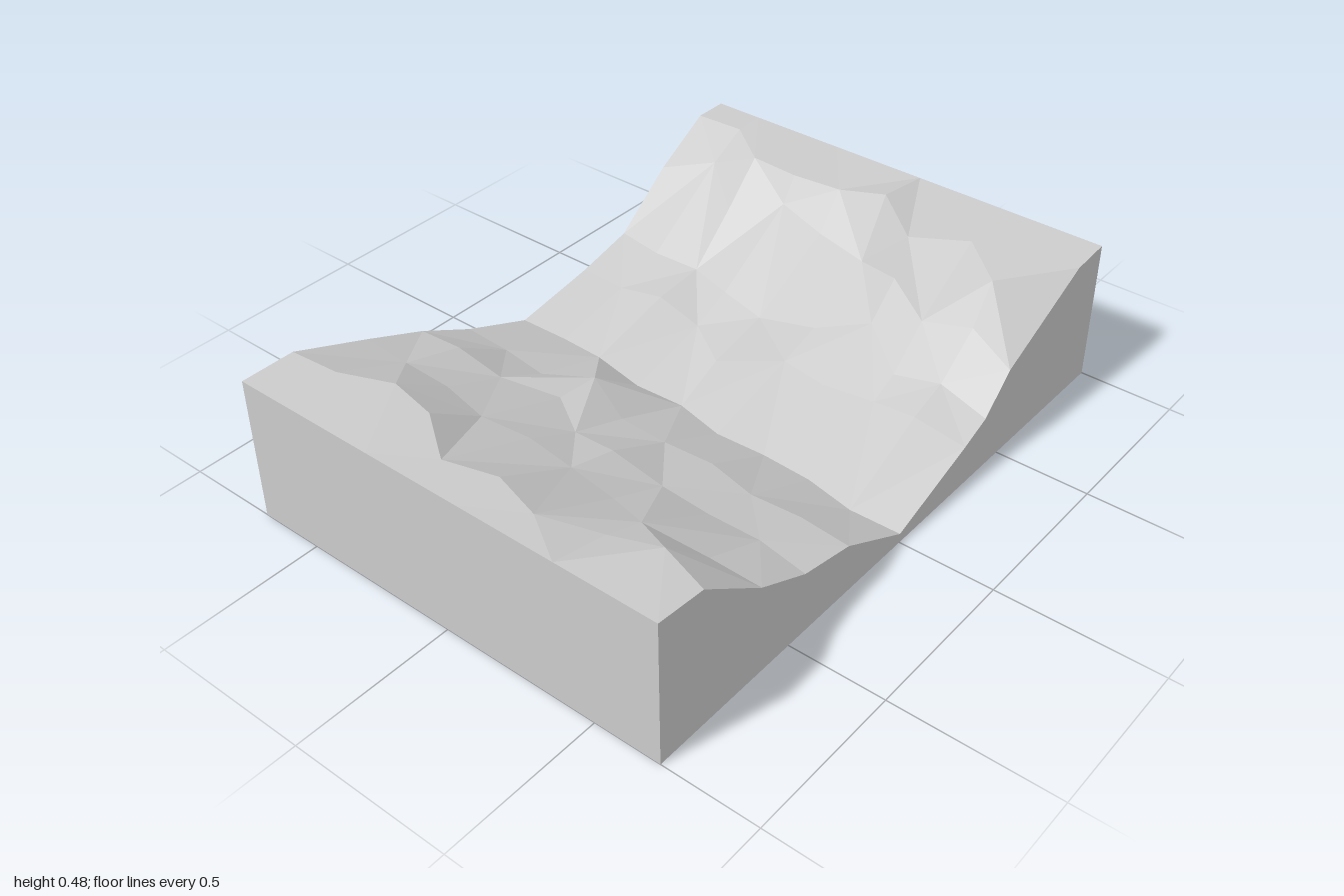
import * as THREE from 'three';

const { lerp } = THREE.MathUtils;
const HALF_WIDTH = 0.706;
const LAST = 9; // last column across the width

// Ridge lines from back to front: z at the left and right ends, then the heights there
const RIDGES = [
  [-1, -1, 0.455, 0.455],
  [-0.89, -0.87, 0.455, 0.445], // back rim
  [-0.7, -0.52, 0.345, 0.28],
  [-0.5, -0.41, 0.19, 0.175],
  [-0.31, -0.31, 0.145, 0.135],
  [-0.03, 0, 0.1, 0.03], // ravine floor
  [0.2, 0.25, 0.19, 0.16],
  [0.38, 0.44, 0.28, 0.2],
  [0.58, 0.62, 0.36, 0.285],
  [0.83, 0.84, 0.455, 0.44], // front rim
  [1, 1, 0.455, 0.455],
];

// Rocks and gullies: ridge, column, shift in z, shift in height
const ROCKS = [
  [1, 2, 0.11, 0.005], [1, 3, 0.11, 0], [1, 4, 0.09, 0], [1, 5, 0.07, 0.033],
  [1, 6, 0.18, 0], [1, 7, 0.08, 0], [1, 8, 0.22, 0],
  [2, 1, -0.09, 0.05], [2, 3, -0.08, 0.05], [2, 4, -0.08, 0.02], [2, 5, -0.1, -0.01],
  [2, 6, -0.06, 0.03], [2, 8, -0.03, 0.04],
  [3, 3, 0.04, 0.01], [3, 4, 0.06, 0], [3, 6, -0.09, 0.05], [3, 8, 0, 0.04],
  [4, 2, 0, 0.03], [4, 4, 0.12, 0], [4, 8, 0.02, 0.04],
  [5, 2, 0, 0.02], [6, 3, -0.05, 0.03],
  [7, 1, 0, 0.025], [7, 3, -0.09, -0.03], [7, 5, 0.03, 0.04],
  [8, 7, 0.08, 0.065], [9, 2, -0.08, 0], [9, 3, -0.05, 0],
  [9, 4, 0.06, 0], [9, 6, 0.06, 0], [9, 7, -0.02, -0.03], [9, 8, -0.05, 0],
];

// Point of the ravine surface: an even ridge, with a rock or a slight ripple
function groundPoint(i, j) {
  const [zLeft, zRight, yLeft, yRight] = RIDGES[i];
  const t = j / LAST;
  const inside = i > 0 && i < RIDGES.length - 1 && j > 0 && j < LAST;
  const rock = ROCKS.find(([ridge, column]) => ridge === i && column === j);
  const ripple = inside ? 0.015 * Math.sin(2.3 * j + 1.7 * i) : 0;
  return new THREE.Vector3(
    lerp(-HALF_WIDTH, HALF_WIDTH, t),
    lerp(yLeft, yRight, t) + (rock ? rock[3] : 0),
    lerp(zLeft, zRight, t) + (rock ? rock[2] : ripple),
  );
}

// Faceted sheet through rows of points
function sheet(name, rows, flip = false) {
  const points = [];
  for (let i = 0; i < rows.length - 1; i++) {
    for (let j = 0; j < rows[i].length - 1; j++) {
      const a = rows[i][j], b = rows[i + 1][j], c = rows[i + 1][j + 1], d = rows[i][j + 1];
      // alternate the diagonal so the facets do not all lean one way
      const corners = (i + j) % 2 ? [a, b, c, a, c, d] : [a, b, d, b, c, d];
      points.push(...(flip ? corners.reverse() : corners));
    }
  }
  const geometry = new THREE.BufferGeometry().setFromPoints(points);
  geometry.computeVertexNormals();
  const mesh = new THREE.Mesh(geometry, new THREE.MeshStandardMaterial({ color: 0xcccccc, flatShading: true }));
  mesh.name = name;
  return mesh;
}

export function createModel() {
  const group = new THREE.Group();
  group.name = 'ravineBlock';

  // Ravine surface
  const ground = RIDGES.map((_, i) => Array.from({ length: LAST + 1 }, (_, j) => groundPoint(i, j)));

  // Underside, slightly hollow beneath the ravine floor, most of all in the middle
  const underside = ground.map((row, i) => row.map((p, j) => {
    const across = 0.022 * (1 - j / LAST) + (j === 4 ? 0.02 : 0);
    return new THREE.Vector3(p.x, i === 4 || i === 5 ? across : 0, p.z);
  }));

  const end = RIDGES.length - 1;
  const edge = (grid, j) => grid.map((row) => row[j]);
  group.add(
    sheet('ravineSurface', ground),
    sheet('underside', underside, true),
    sheet('frontWall', [ground[end], underside[end]]),
    sheet('backWall', [ground[0], underside[0]], true),
    sheet('leftWall', [edge(ground, LAST), edge(underside, LAST)], true),
    sheet('rightWall', [edge(ground, 0), edge(underside, 0)]),
  );
  return group;
}
